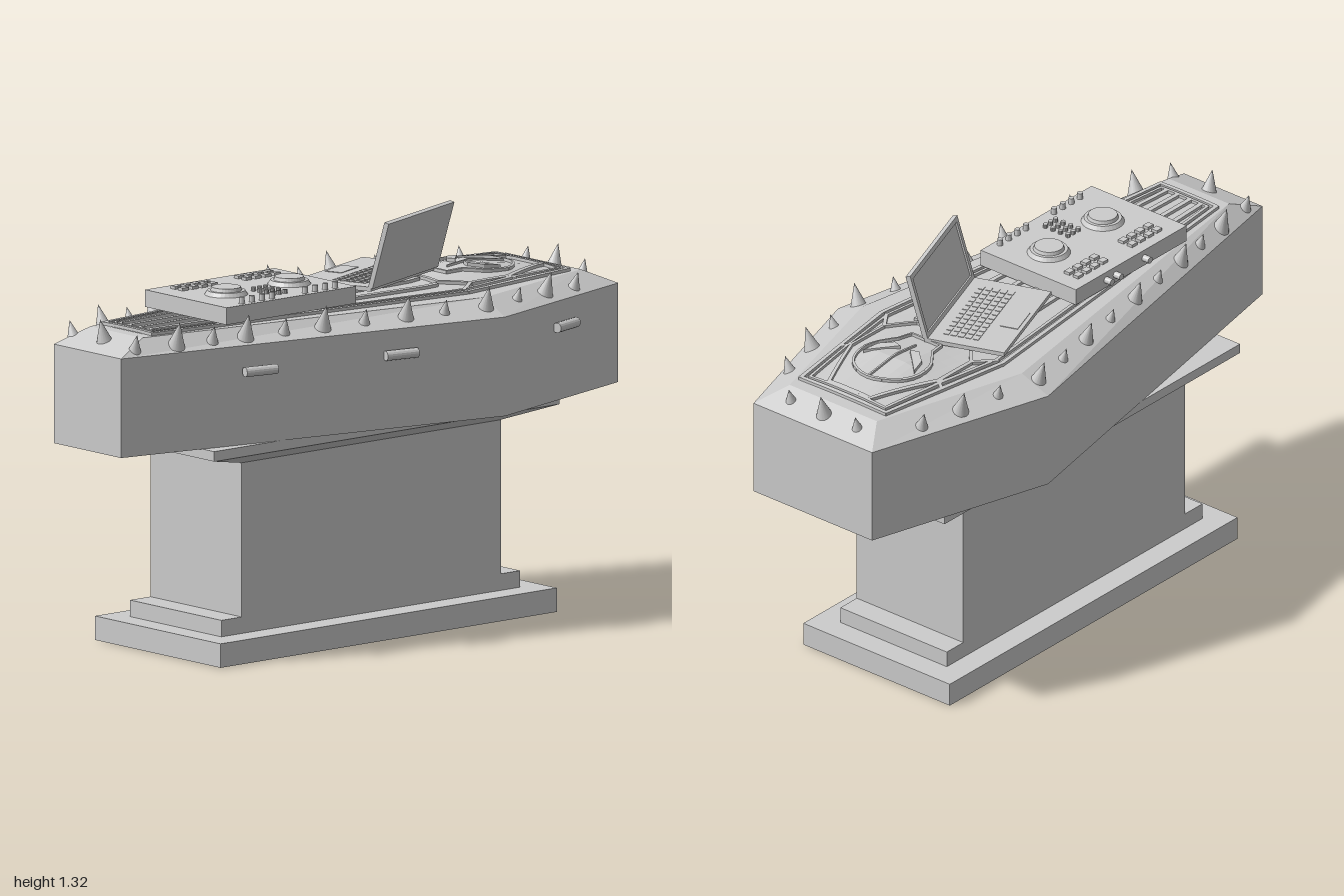
import * as THREE from 'three';
import { mergeGeometries } from 'three/addons/utils/BufferGeometryUtils.js';

const grey = new THREE.MeshStandardMaterial({ color: 0xcccccc, flatShading: true });
const smooth = new THREE.MeshStandardMaterial({ color: 0xcccccc });

function add(parent, name, geometry, x = 0, y = 0, z = 0, material = grey) {
  const mesh = new THREE.Mesh(geometry, material);
  mesh.name = name;
  mesh.position.set(x, y, z);
  parent.add(mesh);
  return mesh;
}
const box = (w, h, d) => new THREE.BoxGeometry(w, h, d);
const disc = (rTop, rBottom, h, n = 24) => new THREE.CylinderGeometry(rTop, rBottom, h, n);

// Capped solid through rings of [x, z] corners, each ring at its own height
function loft(levels) {
  const pos = [];
  const n = levels[0].ring.length;
  const point = (l, i) => [levels[l].ring[i % n][0], levels[l].y, levels[l].ring[i % n][1]];
  for (let l = 0; l < levels.length - 1; l++)
    for (let i = 0; i < n; i++) {
      const a = point(l, i), b = point(l, i + 1), c = point(l + 1, i + 1), d = point(l + 1, i);
      pos.push(...a, ...b, ...c, ...a, ...c, ...d);
    }
  const top = levels.length - 1;
  for (let i = 1; i < n - 1; i++) {
    pos.push(...point(top, 0), ...point(top, i), ...point(top, i + 1));
    pos.push(...point(0, 0), ...point(0, i + 1), ...point(0, i));
  }
  const g = new THREE.BufferGeometry();
  g.setAttribute('position', new THREE.Float32BufferAttribute(pos, 3));
  g.computeVertexNormals();
  return g;
}
const rect = (x0, x1, z0, z1) => [[x1, z1], [x1, z0], [x0, z0], [x0, z1]];
const mirrored = (half) => [...half, ...[...half].reverse().map(([x, z]) => [-x, z])];

// Piecewise-linear lookup in a table of [key, value]
function lookup(table, t) {
  for (let i = 0; i < table.length - 1; i++) {
    const [k0, v0] = table[i], [k1, v1] = table[i + 1];
    if (t <= k1) return v0 + (v1 - v0) * Math.max(0, (t - k0) / (k1 - k0));
  }
  return table[table.length - 1][1];
}

// Height of the raised lid
const lidHalf = [[-0.86, 0.175], [-0.37, 0.25], [0.84, 0.115]];
const ridge = [[-0.86, 1.062], [-0.6, 1.103], [-0.3, 1.072], [0.84, 1.062]];
function lidY(x, z) {
  const w = lookup(lidHalf, z);
  const slope = THREE.MathUtils.clamp((w - Math.abs(x)) / (w - 0.06), 0, 1);
  return 1.06 + (lookup(ridge, z) - 1.06) * slope;
}
function drape(g) {
  const p = g.attributes.position;
  for (let i = 0; i < p.count; i++) p.setY(i, p.getY(i) + lidY(p.getX(i), p.getZ(i)));
  g.computeVertexNormals();
  return g;
}

// Raised strip following a path of [x, z] points over the lid
function strip(points, closed, width = 0.012, height = 0.02) {
  const parts = [];
  const count = points.length - (closed ? 0 : 1);
  for (let i = 0; i < count; i++) {
    const [x0, z0] = points[i], [x1, z1] = points[(i + 1) % points.length];
    const length = Math.hypot(x1 - x0, z1 - z0);
    const g = new THREE.BoxGeometry(width, height, length + width * 0.6, 1, 1, Math.ceil(length / 0.05));
    g.rotateY(Math.atan2(x1 - x0, z1 - z0));
    g.translate((x0 + x1) / 2, 0, (z0 + z1) / 2);
    parts.push(drape(g));
  }
  return mergeGeometries(parts);
}

function addPedestal(root) {
  const g = new THREE.Group();
  g.name = 'pedestal';
  root.add(g);
  const column = rect(-0.24, 0.2, -0.55, 0.53), flare = rect(-0.315, 0.275, -0.73, 0.71);
  add(g, 'plinth', loft([{ y: 0, ring: rect(-0.32, 0.285, -0.71, 0.692) }, { y: 0.077, ring: rect(-0.32, 0.285, -0.71, 0.692) }]));
  add(g, 'plinthStep', loft([{ y: 0.077, ring: rect(-0.24, 0.2, -0.63, 0.615) }, { y: 0.13, ring: rect(-0.24, 0.2, -0.63, 0.615) }]));
  add(g, 'column', loft([{ y: 0.13, ring: column }, { y: 0.625, ring: column }]));
  add(g, 'capital', loft([{ y: 0.625, ring: column }, { y: 0.663, ring: flare }, { y: 0.695, ring: flare }]));
}

function addSpikes(root) {
  const g = new THREE.Group();
  g.name = 'spikes';
  root.add(g);
  const spike = (x, z, ox, oz, large) => {
    const h = large ? 0.09 : 0.062;
    const geo = new THREE.ConeGeometry(large ? 0.031 : 0.023, h, 16).translate(0, h / 2, 0);
    const m = add(g, 'spike', geo, x, 1.022, z, smooth);
    m.quaternion.setFromUnitVectors(new THREE.Vector3(0, 1, 0), new THREE.Vector3(ox, 1, oz).normalize());
  };
  const rail = [[-0.79, 0.27], [-0.34, 0.367], [0.93, 0.145]];
  [-0.79, -0.64, -0.495, -0.34, -0.19, -0.05, 0.1, 0.25, 0.39, 0.53, 0.65, 0.78, 0.93].forEach((z, i) => {
    for (const s of [-1, 1]) spike(s * lookup(rail, z), z, s * 0.3, z < -0.4 ? -0.1 : 0.06, i % 2 === 1);
  });
  for (const x of [-0.137, 0, 0.137]) spike(x, -0.94, 0, -0.25, x === 0);
  spike(0, 0.925, 0, 0.25, true);
}

function addLid(root) {
  const g = new THREE.Group();
  g.name = 'lid';
  root.add(g);
  const panel = new THREE.PlaneGeometry(2, 1.7, 16, 34).rotateX(-Math.PI / 2).translate(0, 0, -0.01);
  const p = panel.attributes.position;
  for (let i = 0; i < p.count; i++) p.setX(i, p.getX(i) * lookup(lidHalf, p.getZ(i)));
  add(g, 'lidPanel', drape(panel));
  add(g, 'outerFrame', strip(mirrored([[0.115, 0.83], [0.25, -0.37], [0.175, -0.85]]), true, 0.014));
  add(g, 'middleFrame', strip(mirrored([[0.095, 0.81], [0.225, -0.37], [0.155, -0.83]]), true, 0.01));
  add(g, 'innerFrame', strip(mirrored([[0.11, -0.36], [0.18, -0.44], [0.18, -0.6], [0.085, -0.82]]), true));
  for (const s of [-1, 1]) {
    for (const [a, b] of [[0.025, 0.04], [0.07, 0.13]])
      add(g, 'slat', strip([[s * a, 0.81], [s * b, -0.34]], false, 0.016));
    add(g, 'spoke', strip([[s * 0.18, -0.44], [s * 0.23, -0.37]], false));
    add(g, 'spoke', strip([[s * 0.18, -0.6], [s * 0.21, -0.62]], false));
    // Slanted eye hollows of the emblem
    const eye = new THREE.Shape([[0.02, 0.55], [0.105, 0.63], [0.09, 0.575], [0.05, 0.54]].map(([x, y]) => new THREE.Vector2(s * x, y)));
    const geo = new THREE.ExtrudeGeometry(eye, { depth: 0.012, bevelEnabled: false }).rotateX(-Math.PI / 2);
    add(g, 'emblemEye', drape(geo));
  }
  // Plain skull outline: round crown and square jaw
  const crown = [];
  for (let i = 0; i <= 20; i++) {
    const a = -0.5 + (i / 20) * (Math.PI + 1);
    crown.push([0.125 * Math.cos(a), -0.61 - 0.125 * Math.sin(a)]);
  }
  add(g, 'emblemOutline', strip([...crown, [-0.07, -0.5], [-0.06, -0.445], [0.06, -0.445], [0.07, -0.5]], true, 0.008));
  add(g, 'emblemNose', strip([[0, -0.73], [0, -0.5]], false, 0.006, 0.014));
}

function addMixer(root) {
  const g = new THREE.Group();
  g.name = 'mixer';
  root.add(g);
  add(g, 'mixerBody', box(0.393, 0.055, 0.54), 0.002, 1.103, 0.322);
  for (const z of [0.182, 0.445]) {
    add(g, 'jogWheelRim', disc(0.06, 0.069, 0.014, 32), 0.027, 1.137, z);
    add(g, 'jogWheelTop', disc(0.046, 0.05, 0.012, 32), 0.027, 1.149, z);
    for (let i = 0; i < 4; i++) add(g, 'knob', disc(0.009, 0.01, 0.022, 12), 0.175, 1.14, z - 0.063 + i * 0.042);
    for (let i = 0; i < 4; i++)
      for (let j = 0; j < 2; j++)
        add(g, 'pad', box(0.022, 0.012, 0.026), -0.145 + j * 0.036, 1.134, z - 0.06 + i * 0.04);
  }
  for (let i = 0; i < 4; i++)
    for (let j = 0; j < 3; j++) add(g, 'button', disc(0.008, 0.008, 0.014, 10), 0.045 + i * 0.031, 1.136, 0.296 + j * 0.025);
  // Sockets on the side
  for (const z of [0.2, 0.245, 0.385])
    add(g, 'socket', disc(0.011, 0.011, 0.028, 12).rotateZ(Math.PI / 2), -0.206, 1.103, z);
}

function addLaptop(root) {
  // Local z runs along the hinge, local -x towards the user
  const g = new THREE.Group();
  g.name = 'laptop';
  g.position.set(0.07, 1.09, -0.258);
  g.rotation.y = 0.342;
  root.add(g);
  add(g, 'laptopBase', box(0.268, 0.014, 0.42), -0.134, 0.007, 0);
  add(g, 'touchpad', box(0.06, 0.002, 0.11), -0.225, 0.015, 0);
  for (let i = 0; i < 5; i++)
    for (let j = 0; j < 12; j++) add(g, 'key', box(0.018, 0.003, 0.022), -0.055 - i * 0.025, 0.0145, -0.154 + j * 0.028);
  const screen = new THREE.Group();
  screen.name = 'screen';
  screen.position.y = 0.01;
  screen.rotation.z = -0.27;
  g.add(screen);
  add(screen, 'screenBack', box(0.01, 0.222, 0.42), 0, 0.111, 0);
  for (const y of [0.008, 0.214]) add(screen, 'screenBezel', box(0.006, 0.016, 0.42), -0.008, y, 0);
  for (const z of [-0.202, 0.202]) add(screen, 'screenBezel', box(0.006, 0.19, 0.016), -0.008, 0.111, z);
}

export function createModel() {
  const root = new THREE.Group();
  root.name = 'coffinBooth';
  addPedestal(root);

  const rim = mirrored([[0.162, 1], [0.434, -0.365], [0.245, -1]]);
  const top = mirrored([[0.125, 0.88], [0.33, -0.37], [0.18, -0.9]]);
  add(root, 'coffinBody', loft([{ y: 0.695, ring: rim }, { y: 1.013, ring: rim }, { y: 1.06, ring: top }]));

  // Grab handles along the left side
  for (const [x, z, turn] of [[0.265, 0.52, -0.197], [0.368, 0.01, -0.197], [0.347, -0.697, 0.29]]) {
    const handle = new THREE.Group();
    handle.name = 'handle';
    handle.position.set(x + (z > 0.3 ? 0.015 : 0), 0.932, z);
    handle.rotation.y = turn;
    root.add(handle);
    add(handle, 'handleBar', disc(0.016, 0.016, 0.115, 16).rotateX(Math.PI / 2));
    for (const s of [-1, 1]) add(handle, 'handleMount', box(0.03, 0.018, 0.016), -0.018, 0, s * 0.045);
  }

  addSpikes(root);
  addLid(root);
  addMixer(root);
  addLaptop(root);
  return root;
}
